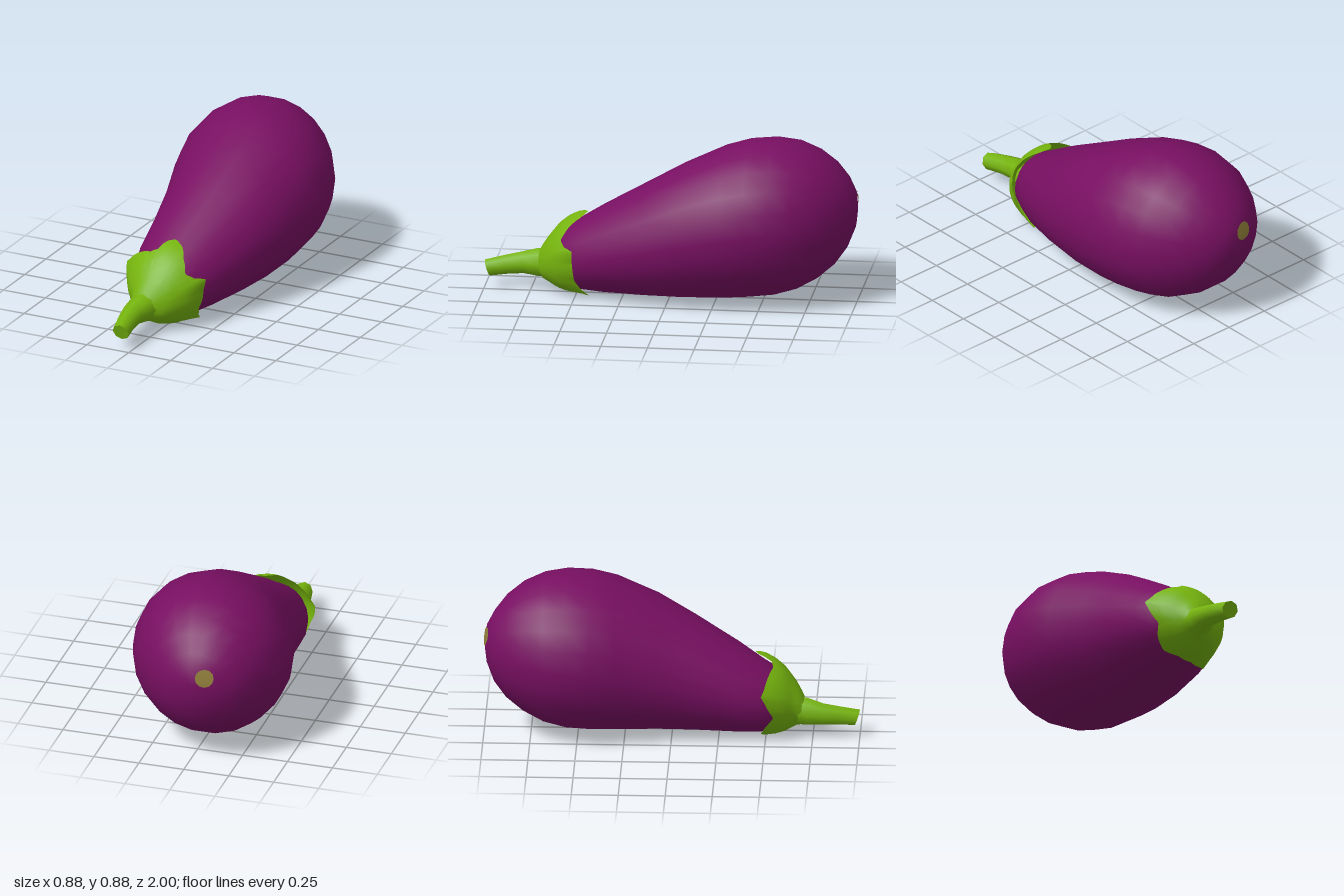
import * as THREE from 'three';
import { mergeVertices, toCreasedNormals } from 'three/addons/utils/BufferGeometryUtils.js';

const skin = new THREE.MeshStandardMaterial({ color: 0x780f62 });
skin.name = 'purpleSkin';
const leaf = new THREE.MeshStandardMaterial({ color: 0x76b40e });
leaf.name = 'leafGreen';
const leafShell = leaf.clone();
leafShell.side = THREE.DoubleSide;
const scar = new THREE.MeshStandardMaterial({ color: 0x8f7d3a });
scar.name = 'scarBrown';

// Skin a grid of points: rows run from +z to -z, columns wrap around counterclockwise
function loft(rows, cols, point) {
  const pos = [], idx = [];
  for (let i = 0; i < rows; i++)
    for (let j = 0; j < cols; j++) pos.push(...point(i, (j / cols) * Math.PI * 2));
  for (let i = 0; i < rows - 1; i++)
    for (let j = 0; j < cols; j++) {
      const k = (j + 1) % cols;
      const a = i * cols + j, b = i * cols + k, c = a + cols, d = b + cols;
      idx.push(a, c, b, b, c, d);
    }
  let g = new THREE.BufferGeometry();
  g.setAttribute('position', new THREE.Float32BufferAttribute(pos, 3));
  g.setIndex(idx);
  g = mergeVertices(g, 1e-5);
  g.computeVertexNormals();
  return g;
}

// Linear lookup in a table whose first column ascends
function lookup(table, t, col) {
  let i = 1;
  while (i < table.length - 1 && table[i][0] < t) i++;
  const a = table[i - 1], b = table[i];
  const f = THREE.MathUtils.clamp((t - a[0]) / (b[0] - a[0]), 0, 1);
  return a[col] + (b[col] - a[col]) * f;
}

function named(name, geometry, material) {
  const m = new THREE.Mesh(geometry, material);
  m.name = name;
  return m;
}

// Fruit cross-sections: z, left x, right x, bottom y, top y
const BODY = [
  [0.64, -0.03, -0.03, 0.2, 0.2],
  [0.62, -0.13, 0.07, 0.1, 0.3],
  [0.56, -0.2, 0.14, 0.045, 0.365],
  [0.48, -0.235, 0.185, 0.025, 0.412],
  [0.35, -0.272, 0.255, 0.02, 0.495],
  [0.12, -0.302, 0.343, 0.02, 0.63],
  [-0.08, -0.337, 0.4, 0.02, 0.745],
  [-0.3, -0.4, 0.434, 0.022, 0.845],
  [-0.43, -0.432, 0.437, 0.028, 0.88],
  [-0.56, -0.438, 0.42, 0.04, 0.89],
  [-0.68, -0.418, 0.38, 0.073, 0.874],
  [-0.79, -0.37, 0.315, 0.133, 0.828],
  [-0.88, -0.308, 0.23, 0.208, 0.76],
  [-0.945, -0.238, 0.135, 0.298, 0.68],
  [-0.985, -0.15, 0.045, 0.4, 0.605],
  [-1.0, -0.05, -0.05, 0.51, 0.51],
];

// Cap cross-sections: z, centre x, centre y, radius
const CAP = [
  [0.42, -0.027, 0.228, 0.228],
  [0.5, -0.027, 0.223, 0.216],
  [0.55, -0.028, 0.213, 0.2],
  [0.6, -0.03, 0.2, 0.173],
  [0.66, -0.033, 0.178, 0.118],
  [0.7, -0.055, 0.152, 0.08],
  [0.715, -0.06, 0.148, 0.05],
];

// Cap rim: angle in degrees, rim z, outward flare (points and notches alternate)
const RIM = [
  [0, 0.505, 1.03], [16, 0.505, 1.14], [24, 0.55, 1.06], [38, 0.575, 1.02],
  [55, 0.535, 1.02], [70, 0.47, 1.02], [84, 0.44, 1.02], [93, 0.465, 1.02],
  [100, 0.53, 1.01], [112, 0.54, 1.0], [135, 0.515, 1.04], [155, 0.495, 1.1],
  [164, 0.48, 1.17], [172, 0.5, 1.12], [195, 0.545, 1.02], [215, 0.5, 1.0],
  [235, 0.475, 1.0], [255, 0.51, 1.0], [280, 0.49, 1.0], [300, 0.435, 1.04],
  [308, 0.42, 1.12], [316, 0.46, 1.06], [330, 0.495, 1.01], [360, 0.505, 1.03],
];

// Stem cross-sections: centre x, y, z, radius x, radius y, forward tilt of the slice
const STEM = [
  [-0.055, 0.108, 0.985, 0, 0, 0],
  [-0.055, 0.108, 0.985, 0.048, 0.044, 0.35],
  [-0.075, 0.125, 0.88, 0.053, 0.052, 0.2],
  [-0.083, 0.135, 0.8, 0.06, 0.06, 0.1],
  [-0.07, 0.144, 0.72, 0.077, 0.077, 0],
  [-0.062, 0.148, 0.67, 0.085, 0.08, 0],
];

export function createModel() {
  const model = new THREE.Group();
  model.name = 'eggplant';

  // Fruit
  const body = named('fruit', loft(BODY.length, 22, (i, a) => {
    const [z, l, r, b, t] = BODY[i];
    return [(l + r) / 2 + Math.cos(a) * (r - l) / 2, (b + t) / 2 + Math.sin(a) * (t - b) / 2, z];
  }), skin);
  model.add(body);

  // Leafy cap with pointed lobes
  const steps = 9;
  const cap = loft(steps, 90, (i, a) => {
    const deg = THREE.MathUtils.radToDeg(a), s = 1 - i / (steps - 1);
    const z = THREE.MathUtils.lerp(lookup(RIM, deg, 1), 0.715, s);
    const flare = 1 + (lookup(RIM, deg, 2) - 1) * (1 - s) ** 2;
    const r = lookup(CAP, z, 3) * flare;
    return [lookup(CAP, z, 1) + Math.cos(a) * r, Math.max(0, lookup(CAP, z, 2) + Math.sin(a) * r), z];
  });
  // rows ran rim to stem, so flip the faces outward
  const ix = cap.index.array;
  for (let k = 0; k < ix.length; k += 3) [ix[k], ix[k + 1]] = [ix[k + 1], ix[k]];
  cap.computeVertexNormals();
  model.add(named('leafyCap', cap, leafShell));

  // Bent stem
  const stem = loft(STEM.length, 8, (i, a) => {
    const [x, y, z, rx, ry, tilt] = STEM[i];
    const dy = Math.sin(a) * ry;
    return [x + Math.cos(a) * rx, y + dy, z + dy * tilt];
  });
  model.add(named('stem', toCreasedNormals(stem, 0.95), leaf));

  // Blossom scar, draped over the rounded end
  const spot = new THREE.CircleGeometry(0.05, 12);
  spot.rotateY(Math.PI);
  spot.translate(-0.11, 0.56, 0);
  const p = spot.attributes.position;
  const ray = new THREE.Raycaster();
  for (let i = 0; i < p.count; i++) {
    ray.set(new THREE.Vector3(p.getX(i), p.getY(i), -2), new THREE.Vector3(0, 0, 1));
    const hit = ray.intersectObject(body)[0];
    p.setZ(i, (hit ? hit.point.z : -0.97) - 0.006);
  }
  spot.computeVertexNormals();
  model.add(named('blossomScar', spot, scar));

  return model;
}
